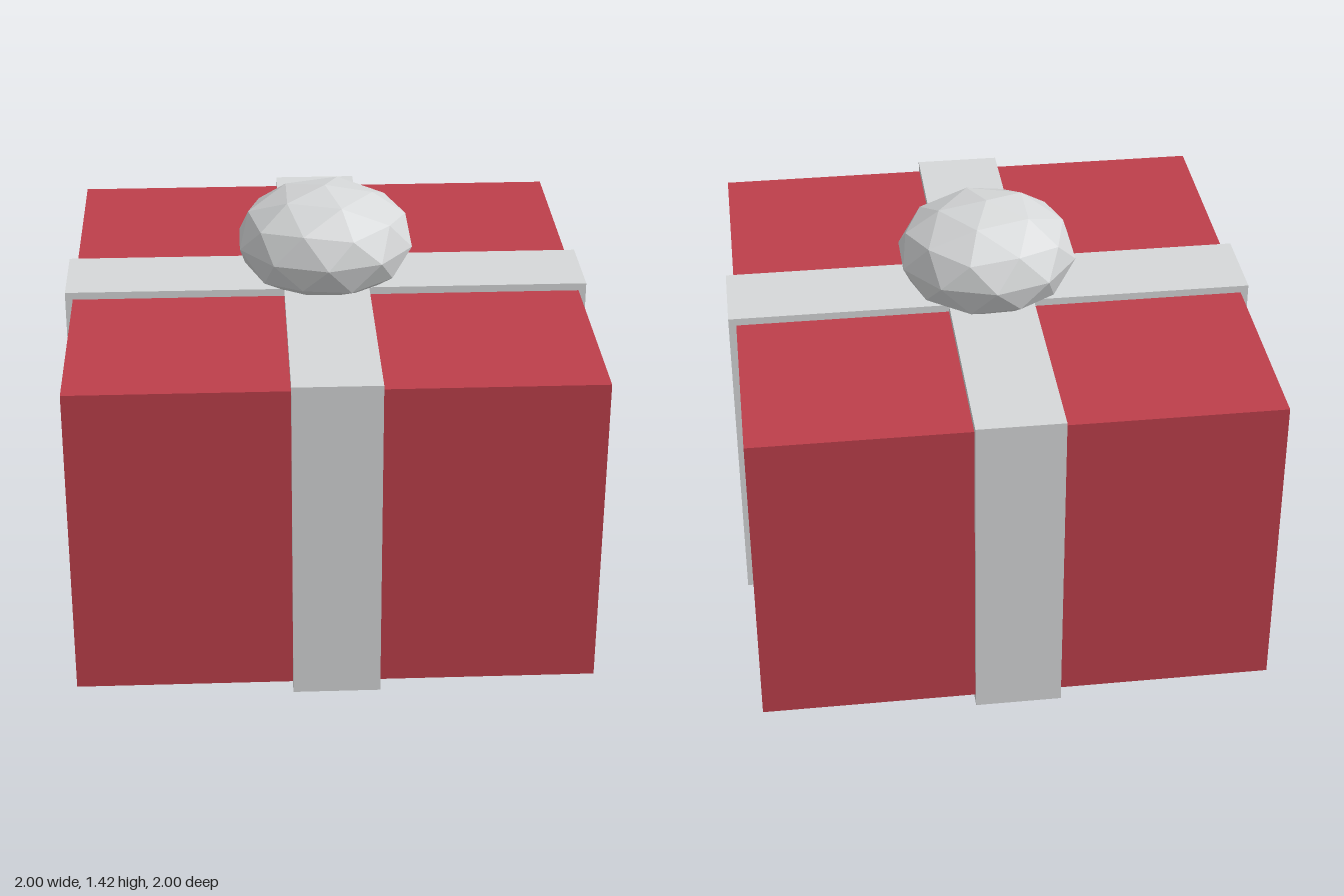
import * as THREE from 'three';

const red = new THREE.MeshStandardMaterial({ name: 'red paper', color: 0xbd3f4b, flatShading: true });
const silver = new THREE.MeshStandardMaterial({ name: 'silver ribbon', color: 0xd6d8d9, flatShading: true });

function addMesh(parent, name, geometry, material, x, y, z) {
  const mesh = new THREE.Mesh(geometry, material);
  mesh.name = name;
  mesh.position.set(x, y, z);
  parent.add(mesh);
  return mesh;
}

export function createModel() {
  const gift = new THREE.Group();
  gift.name = 'giftBox';

  // Wrapped box, lifted by the thickness of the ribbon below it
  addMesh(gift, 'box', new THREE.BoxGeometry(1.686, 1.06, 1.686), red, 0, 0.555, 0);

  // Two crossing ribbons that stand slightly proud of every face
  const ribbon = new THREE.BoxGeometry(0.283, 1.11, 1.736);
  addMesh(gift, 'ribbonFrontToBack', ribbon, silver, 0, 0.555, 0);
  addMesh(gift, 'ribbonSideToSide', ribbon, silver, 0, 0.555, 0).rotation.y = Math.PI / 2;

  // Squashed, faceted bow with one vertex pointing straight up, sunk into the lid
  const bow = new THREE.IcosahedronGeometry(1, 1);
  bow.rotateZ(Math.atan(2 / (1 + Math.sqrt(5))));
  bow.rotateY(Math.PI);
  bow.scale(0.301, 0.19, 0.29);
  addMesh(gift, 'bow', bow, silver, 0, 1.23, -0.005);

  // The whole gift is turned a little
  gift.rotation.y = THREE.MathUtils.degToRad(12);
  const model = new THREE.Group();
  model.name = 'gift';
  model.add(gift);
  return model;
}
